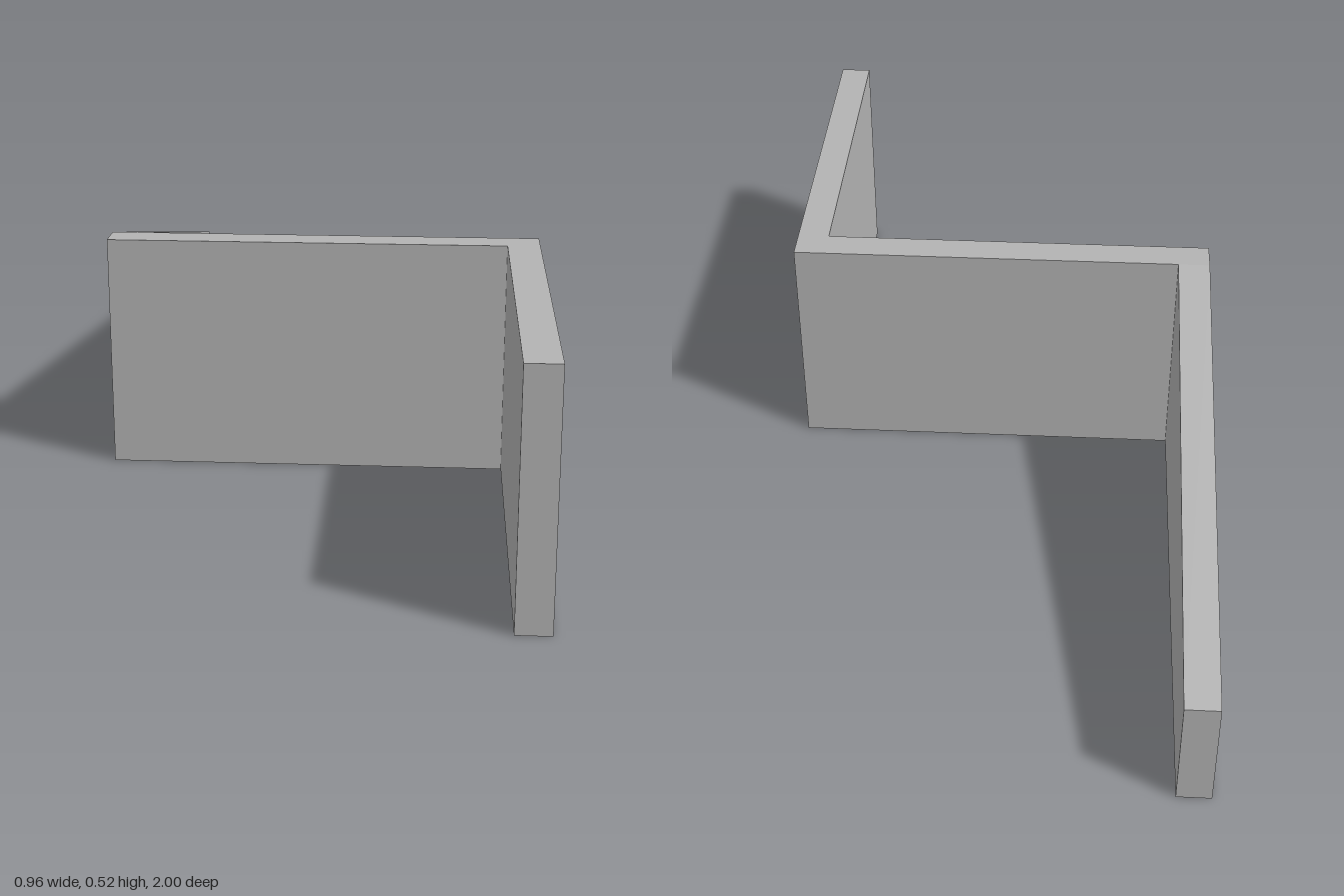
import * as THREE from 'three';

const HALF_W = 0.48, THICK = 0.072, HEIGHT = 0.525, LOW = 0.255;
const BACK = 0.102; // rear face of the cross wall

function extrude(points, depth) {
  const shape = new THREE.Shape(points.map(([x, y]) => new THREE.Vector2(x, y)));
  return new THREE.ExtrudeGeometry(shape, { depth, bevelEnabled: false });
}

export function createModel() {
  const model = new THREE.Group();
  model.name = 'zigzagWall';
  const concrete = new THREE.MeshStandardMaterial({ color: 0xb3b3b3 });
  concrete.name = 'concrete grey';

  const add = (name, geometry) => {
    const mesh = new THREE.Mesh(geometry, concrete);
    mesh.name = name;
    model.add(mesh);
  };

  // Full-height corner: cross wall and front wing share one L-shaped plan (x, -z)
  const corner = extrude([
    [-HALF_W, -BACK],
    [-HALF_W, -BACK - THICK],
    [HALF_W - THICK, -BACK - THICK],
    [HALF_W - THICK, -1],
    [HALF_W, -1],
    [HALF_W, -BACK],
  ], HEIGHT);
  corner.rotateX(-Math.PI / 2);
  add('cornerWall', corner);

  // Rear wing: side profile (z, y) with a top sloping down to the back
  const wing = extrude([[-1, 0], [BACK, 0], [BACK, HEIGHT], [-1, LOW]], THICK);
  wing.rotateY(-Math.PI / 2);
  wing.translate(-HALF_W + THICK, 0, 0);
  add('slopedWingWall', wing);

  return model;
}
